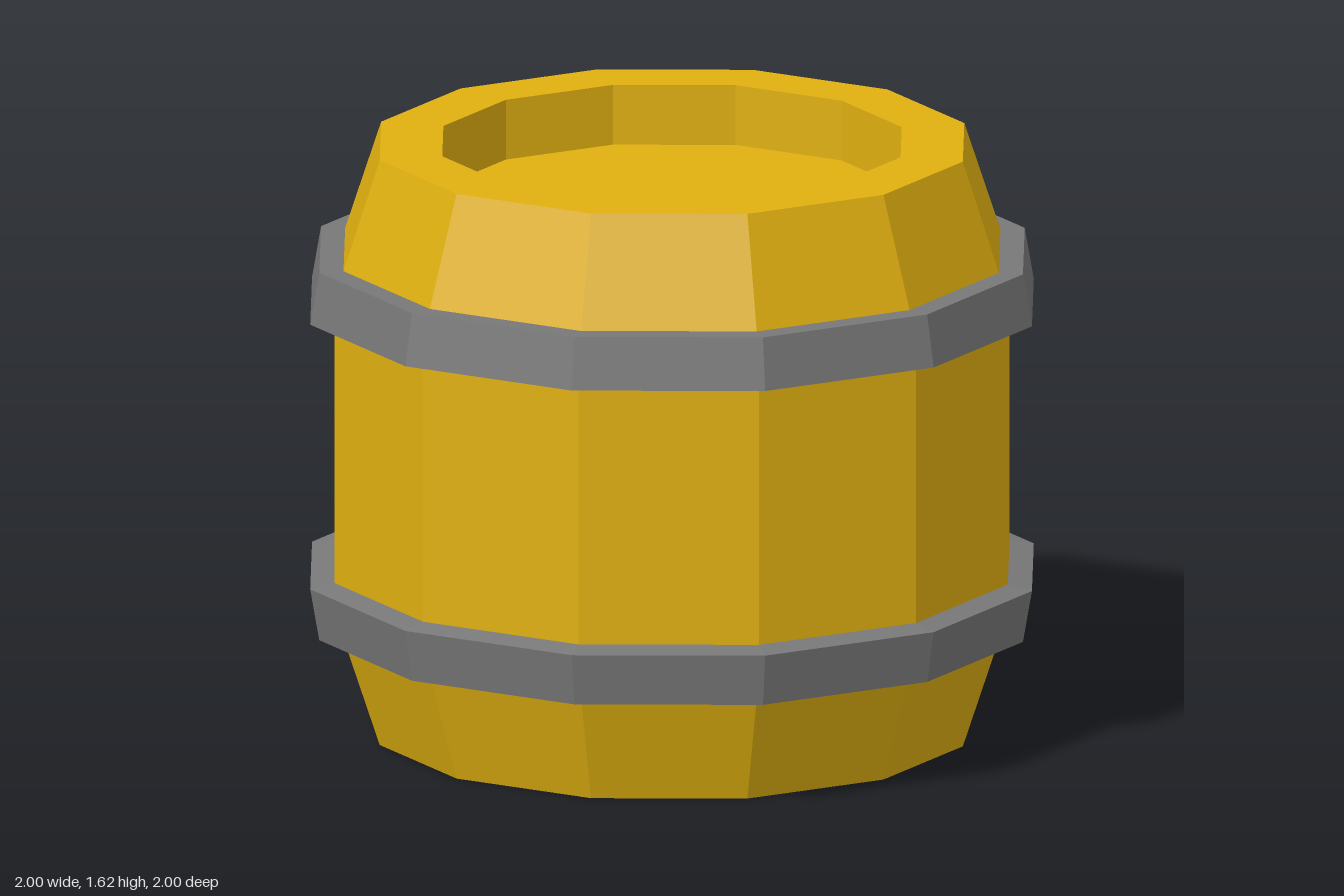
import * as THREE from 'three';

const SIDES = 12;
const HEIGHT = 1.615;

// Twelve-sided faceted solid from a profile of [radius, y], listed counter-clockwise
function facetedLathe(name, profile, material) {
  const points = profile.map(([r, y]) => new THREE.Vector2(r, y));
  const geometry = new THREE.LatheGeometry(points, SIDES).toNonIndexed();
  geometry.computeVertexNormals();
  const mesh = new THREE.Mesh(geometry, material);
  mesh.name = name;
  return mesh;
}

// Flip a profile top to bottom, keeping its winding
const flip = (profile) => profile.map(([r, y]) => [r, HEIGHT - y]).reverse();

export function createModel() {
  const wood = new THREE.MeshStandardMaterial({ color: 0xe0b010 });
  wood.name = 'golden wood';
  const iron = new THREE.MeshStandardMaterial({ color: 0x787878 });
  iron.name = 'grey iron';

  const barrel = new THREE.Group();
  barrel.name = 'barrel';

  // Staves: tapered ends, straight middle, raised rim around each head
  const rim = [[0.635, 0.165], [0.635, 0], [0.808, 0], [0.933, 0.375]];
  barrel.add(facetedLathe('staves', [...rim, ...flip(rim)], wood));

  // Recessed heads
  const head = [[0, 0.165], [0.635, 0.165]];
  barrel.add(facetedLathe('bottomHead', head, wood));
  barrel.add(facetedLathe('topHead', flip(head), wood));

  // Hoops, each wider towards the middle of the barrel
  const hoop = [[0.9, 0.3], [0.975, 0.3], [1, 0.442], [0.925, 0.457]];
  barrel.add(facetedLathe('lowerHoop', hoop, iron));
  barrel.add(facetedLathe('upperHoop', flip(hoop), iron));

  return barrel;
}
